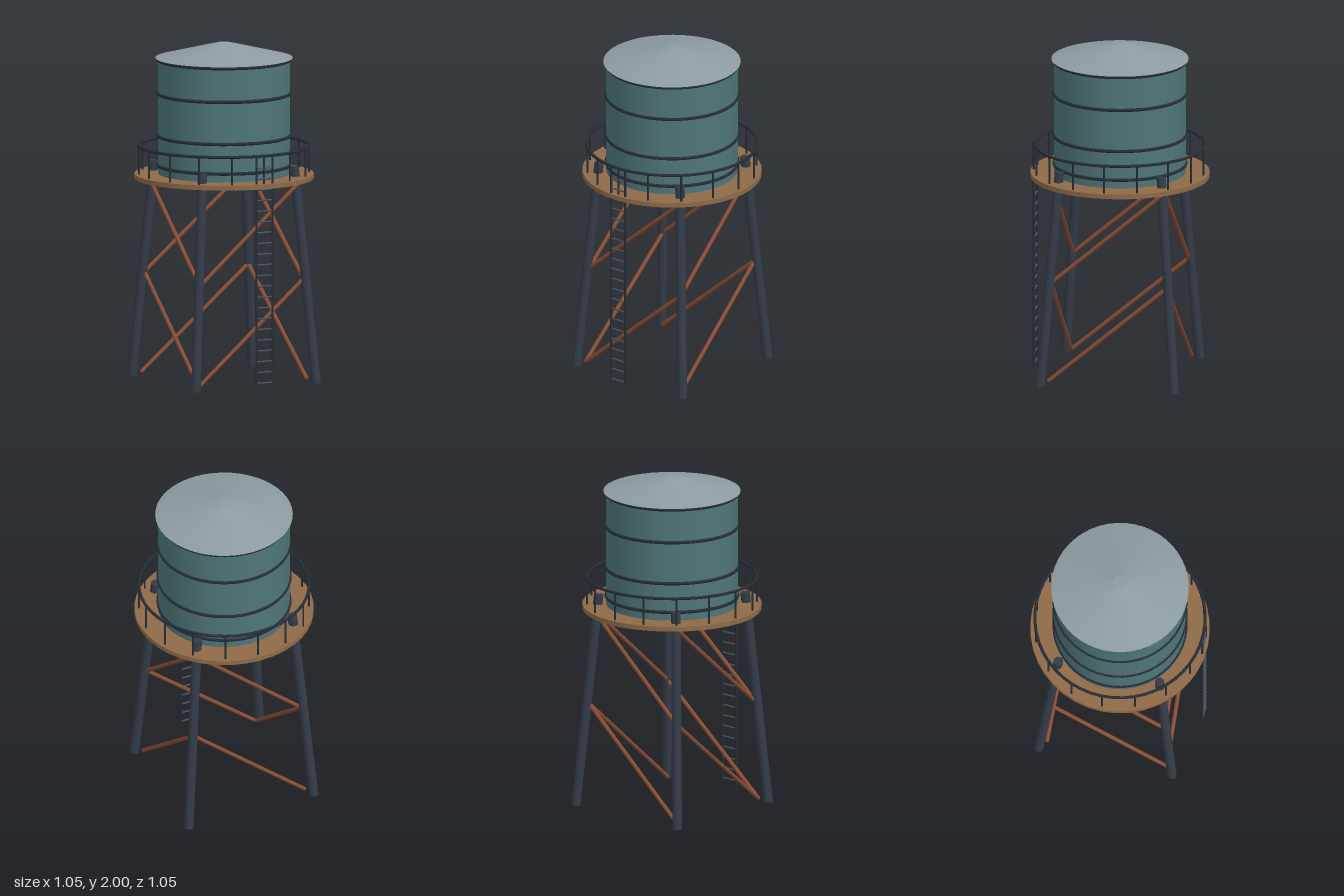
import * as THREE from 'three';

const material = (name, color) => {
  const m = new THREE.MeshStandardMaterial({ color });
  m.name = name;
  return m;
};

export function createModel() {
  const model = new THREE.Group();
  model.name = 'waterTower';

  const teal = material('tealTank', 0x4f7678);
  const roofGrey = material('roofGrey', 0x8d9ca1);
  const steel = material('darkSteel', 0x343c48);
  const iron = material('blackIron', 0x262d37);
  const wood = material('deckWood', 0x8f6a48);
  const rust = material('rustBrace', 0x8a4e34);
  const rungGrey = material('rungGrey', 0x4a525e);

  const add = (name, geometry, mat, parent = model) => {
    const mesh = new THREE.Mesh(geometry, mat);
    mesh.name = name;
    parent.add(mesh);
    return mesh;
  };
  const group = (name) => {
    const g = new THREE.Group();
    g.name = name;
    model.add(g);
    return g;
  };
  // Round bar between two points
  const bar = (name, a, b, radius, mat, parent, sides = 8) => {
    const from = new THREE.Vector3(...a);
    const to = new THREE.Vector3(...b);
    const dir = to.clone().sub(from);
    const mesh = add(name, new THREE.CylinderGeometry(radius, radius, dir.length(), sides), mat, parent);
    mesh.position.copy(from).add(to).multiplyScalar(0.5);
    mesh.quaternion.setFromUnitVectors(new THREE.Vector3(0, 1, 0), dir.normalize());
    return mesh;
  };
  // Horizontal ring
  const ring = (name, radius, tube, y, mat, parent) => {
    const mesh = add(name, new THREE.TorusGeometry(radius, tube, 8, 48), mat, parent);
    mesh.rotation.x = Math.PI / 2;
    mesh.position.y = y;
  };

  // Tank, roof and deck
  add('tank', new THREE.CylinderGeometry(0.387, 0.387, 0.685, 48), teal).position.y = 1.5675;
  add('roof', new THREE.CylinderGeometry(0.04, 0.404, 0.09, 48), roofGrey).position.y = 1.955;
  add('deck', new THREE.CylinderGeometry(0.527, 0.527, 0.028, 40), wood).position.y = 1.211;

  // Iron hoops around the tank
  const hoops = group('hoops');
  for (const y of [1.275, 1.45, 1.7, 1.9]) ring('hoop', 0.387, 0.01, y, iron, hoops);

  // Railing
  const railing = group('railing');
  ring('handrail', 0.5, 0.009, 1.39, iron, railing);
  for (let i = 0; i < 16; i++) {
    const a = (i / 16) * Math.PI * 2;
    const x = 0.5 * Math.cos(a), z = 0.5 * Math.sin(a);
    bar('railPost', [x, 1.22, z], [x, 1.39, z], 0.006, iron, railing);
  }

  // Splayed legs
  const legs = group('legs');
  for (const sx of [-1, 1]) for (const sz of [-1, 1]) {
    bar('leg', [sx * 0.4, 0.003, sz * 0.4], [sx * 0.304, 1.285, sz * 0.304], 0.028, steel, legs, 16);
  }

  // Diagonal braces, two tiers on each of the four faces
  const braces = group('braces');
  const tiers = [[0.025, 0.36, 0.62, 0.345], [0.62, 0.345, 1.195, 0.33]];
  for (const [y0, r0, y1, r1] of tiers) for (const s of [-1, 1]) {
    bar('brace', [-r0, y0, s * r0], [r1, y1, s * r1], 0.012, rust, braces);
    bar('brace', [s * r0, y0, r0], [s * r1, y1, -r1], 0.012, rust, braces);
  }

  // Ladder up the front
  const ladder = group('ladder');
  for (const s of [-1, 1]) bar('ladderRail', [s * 0.053, 0.02, 0.505], [s * 0.053, 1.39, 0.505], 0.007, iron, ladder);
  for (let i = 0; i < 21; i++) {
    const y = 0.045 + i * 0.0637;
    bar('rung', [-0.053, y, 0.505], [0.053, y, 0.505], 0.005, rungGrey, ladder);
  }

  return model;
}
